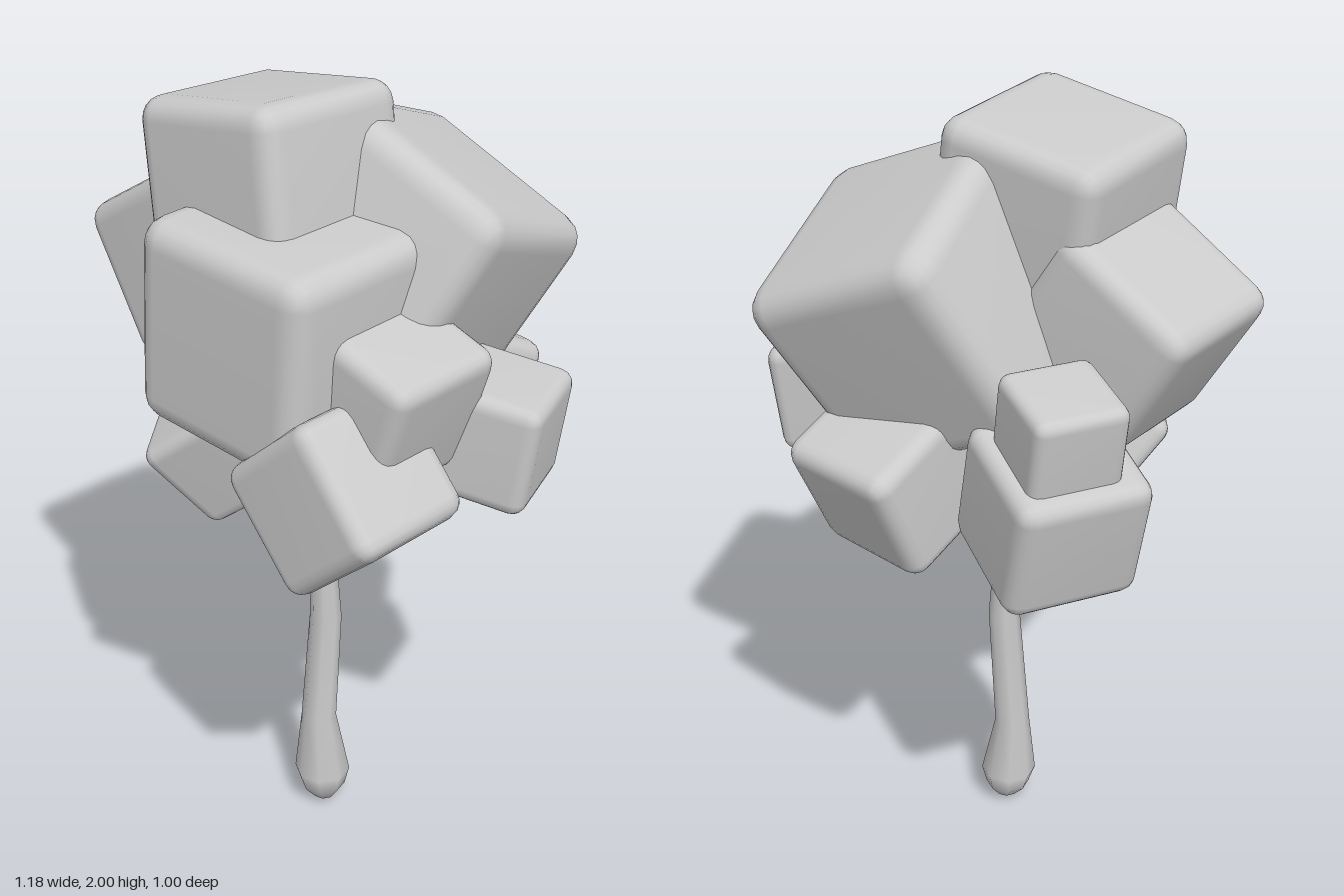
import * as THREE from 'three';
import { RoundedBoxGeometry } from 'three/addons/geometries/RoundedBoxGeometry.js';
import { mergeVertices } from 'three/addons/utils/BufferGeometryUtils.js';

// Leaf blocks: size, centre, rotation in degrees (XYZ order)
const BLOCKS = [
  ['crownTop', 0.435, [-0.08, 1.755, 0.15], [-3, 8, 9]],
  ['crownFront', 0.51, [0.07, 1.475, 0.22], [0, 9, -4]],
  ['crownBack', 0.545, [0.065, 1.55, -0.12], [-22, 19, -17.6]],
  ['crownUpperRight', 0.4, [-0.31, 1.525, 0.155], [0, 7, 31]],
  ['crownLowerRight', 0.335, [-0.36, 1.175, -0.155], [0, -22, 15]],
  ['crownSmallRight', 0.23, [-0.41, 1.4, -0.19], [0, -22, 10]],
  ['crownLowerLeft', 0.335, [0.355, 1.185, 0.29], [0, 8, 41]],
  ['crownMidLeft', 0.33, [0.32, 1.375, 0.15], [0, 8, -18]],
  ['crownRearLeft', 0.28, [0.4, 1.23, -0.115], [0, 28, -8]],
  ['crownLowerBack', 0.33, [0.04, 1.17, -0.27], [-25, 0, 0]],
  ['crownUnderside', 0.22, [0.115, 1.05, -0.03], [12, 15, 12]],
  ['crownLowerFront', 0.27, [-0.1, 1.13, 0.29], [20, 40, 25]],
];

// Trunk stations: height, radius, sideways shift
const TRUNK = [
  [0, 0.001, 0.02], [0.015, 0.03, 0.02], [0.05, 0.058, 0.016], [0.1, 0.073, 0.013],
  [0.27, 0.046, 0.0], [0.6, 0.041, 0.032], [0.8, 0.031, 0.025], [1.0, 0.025, 0.005],
  [1.25, 0.012, 0.0],
];
const TRUNK_Z = 0.095;

// Bevelled cube whose shading blends softly across the faces
function softCube(size) {
  const cube = new RoundedBoxGeometry(size, size, size, 2, size * 0.13);
  cube.deleteAttribute('normal');
  cube.deleteAttribute('uv');
  const merged = mergeVertices(cube, 1e-4);
  merged.computeVertexNormals();
  return merged;
}

export function createModel() {
  const tree = new THREE.Group();
  tree.name = 'tree';
  const material = new THREE.MeshStandardMaterial({ color: 0xcccccc });
  const add = (name, geometry) => {
    const mesh = new THREE.Mesh(geometry, material);
    mesh.name = name;
    tree.add(mesh);
    return mesh;
  };

  // Crown of soft-edged cubes
  for (const [name, size, centre, turn] of BLOCKS) {
    const block = add(name, softCube(size));
    block.position.set(...centre);
    block.rotation.set(...turn.map(THREE.MathUtils.degToRad));
  }

  // Gently bent trunk: a lathe whose rings are shifted sideways
  const profile = TRUNK.map(([y, r]) => new THREE.Vector2(r, y));
  const trunk = new THREE.LatheGeometry(profile, 8);
  const p = trunk.attributes.position;
  for (let i = 0; i < p.count; i++) {
    p.setX(i, p.getX(i) + TRUNK[i % TRUNK.length][2]);
  }
  add('trunk', trunk).position.z = TRUNK_Z;

  // Curved branches tapering toward the tip
  const branch = (name, tip) => {
    const root = new THREE.Vector3(0.02, 0.83, TRUNK_Z);
    const end = new THREE.Vector3(...tip);
    const bend = root.clone().lerp(end, 0.58).setY(0.87);
    const curve = new THREE.QuadraticBezierCurve3(root, bend, end);
    const steps = 8, sides = 6;
    const tube = new THREE.TubeGeometry(curve, steps, 0.028, sides);
    const q = tube.attributes.position, v = new THREE.Vector3();
    for (let i = 0; i < q.count; i++) {
      const t = Math.floor(i / (sides + 1)) / steps;
      const centre = curve.getPointAt(t);
      v.fromBufferAttribute(q, i).sub(centre).multiplyScalar(1 - 0.7 * t).add(centre);
      q.setXYZ(i, v.x, v.y, v.z);
    }
    add(name, tube);
  };
  branch('rightBranch', [-0.28, 1.035, -0.06]);
  branch('leftBranch', [0.27, 1.05, 0.22]);

  return tree;
}
